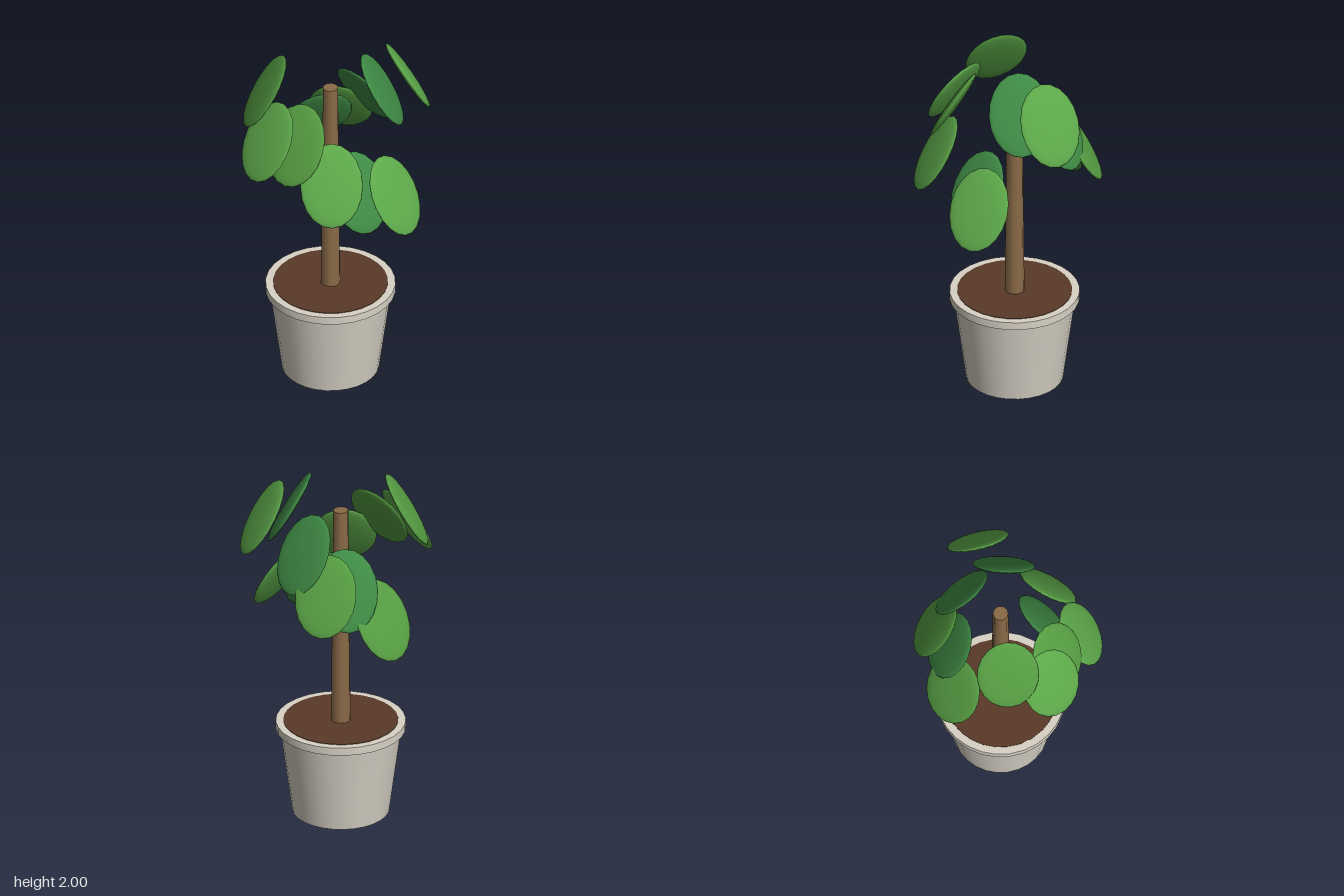
import * as THREE from 'three';
import { toCreasedNormals } from 'three/addons/utils/BufferGeometryUtils.js';

const mat = (color) => new THREE.MeshStandardMaterial({ color });

function addMesh(parent, name, geometry, material, y = 0) {
  const mesh = new THREE.Mesh(geometry, material);
  mesh.name = name;
  mesh.position.y = y;
  parent.add(mesh);
  return mesh;
}

export function createModel() {
  const plant = new THREE.Group();
  plant.name = 'pottedPlant';
  plant.position.set(0.003, 0, -0.034);

  const potMat = mat(0xd8d2c6);
  const leafMats = [0x3f8a45, 0x559c42, 0x5da84a].map(mat);

  // Tapered pot with a square-edged rim
  addMesh(plant, 'pot', new THREE.CylinderGeometry(0.334, 0.264, 0.525, 28), potMat, 0.2625);
  const rimProfile = [[0.31, 0.49], [0.353, 0.49], [0.353, 0.535], [0.31, 0.535], [0.31, 0.49]]
    .map(([r, y]) => new THREE.Vector2(r, y));
  addMesh(plant, 'potRim', toCreasedNormals(new THREE.LatheGeometry(rimProfile, 28), 0.6), potMat);

  // Soil disc
  addMesh(plant, 'soil', new THREE.CylinderGeometry(0.312, 0.312, 0.03, 28), mat(0x5a3a28), 0.523);

  // Trunk
  addMesh(plant, 'trunk', new THREE.CylinderGeometry(0.042, 0.054, 1.28, 10), mat(0x8a6a48), 1.16);

  // Flattened oval leaves spiralling round the trunk, tilted down and outwards
  const leafGeo = new THREE.SphereGeometry(1, 20, 14).scale(0.17, 0.025, 0.23);
  const leaves = new THREE.Group();
  leaves.name = 'leaves';
  plant.add(leaves);
  for (let i = 0; i < 12; i++) {
    const heading = THREE.MathUtils.degToRad(137.5 * i);
    const radius = 0.28 + 0.0775 * (i % 3);
    const leaf = addMesh(leaves, 'leaf', leafGeo, leafMats[i % 3]);
    leaf.position.set(radius * Math.sin(heading), 1.27 + 0.1767 * (i % 4), radius * Math.cos(heading));
    leaf.rotation.set(Math.PI / 3, heading, 0, 'YXZ');
  }

  const model = new THREE.Group();
  model.name = 'model';
  model.add(plant);
  return model;
}
